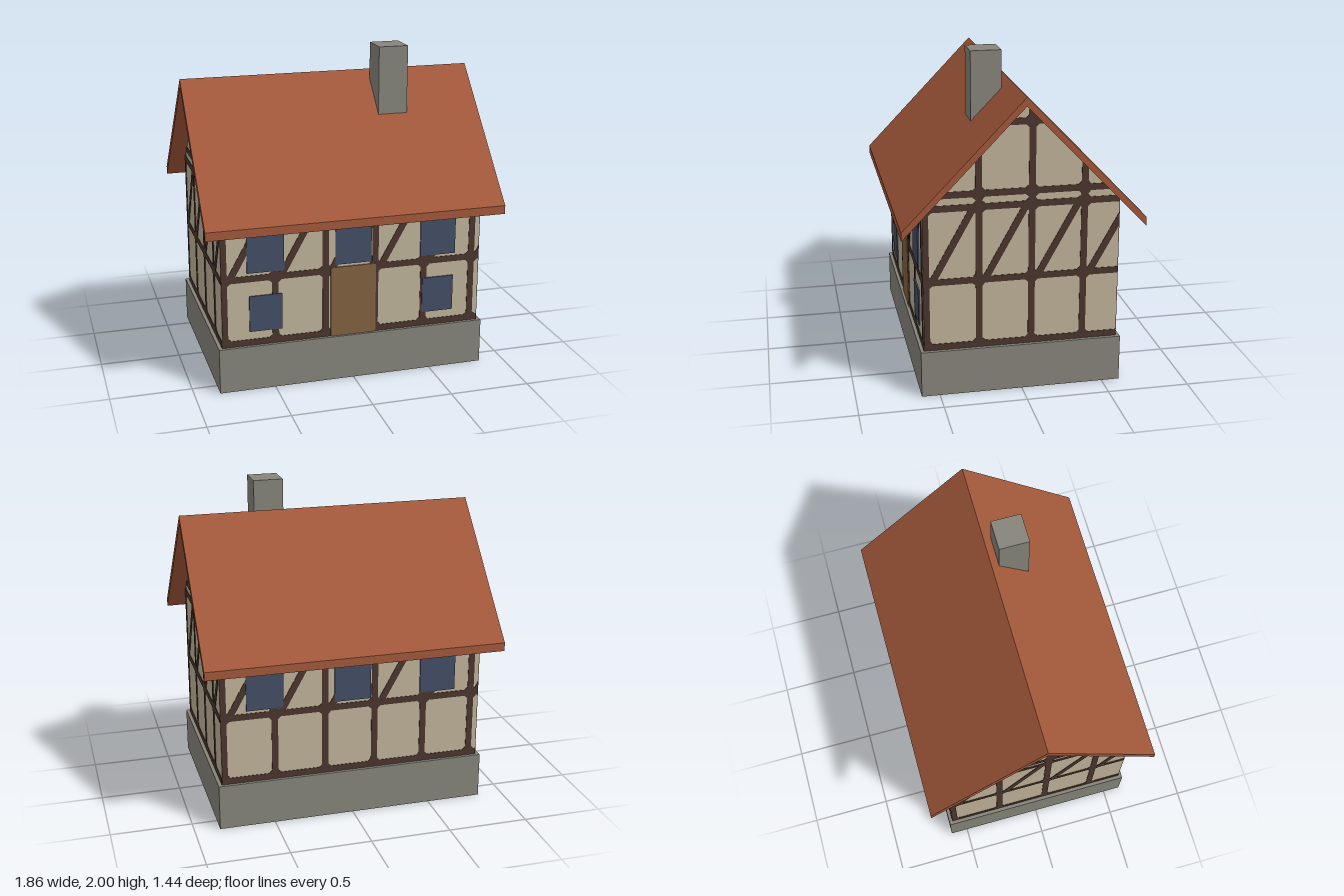
import * as THREE from 'three';
import { mergeGeometries } from 'three/addons/utils/BufferGeometryUtils.js';

const material = (name, color, side = THREE.FrontSide) =>
  new THREE.MeshStandardMaterial({ name, color, side });

// Main sizes: half widths of the walls, floor, eaves and inner ridge heights
const HX = 0.82, HZ = 0.587, FLOOR = 0.285, EAVE = 1.165, RIDGE = 1.77;

// Keep the part of a convex polygon inside a convex, counter-clockwise outline
function clip(poly, outline) {
  let out = poly;
  outline.forEach((a, i) => {
    const b = outline[(i + 1) % outline.length];
    const side = (p) => (b[0] - a[0]) * (p[1] - a[1]) - (b[1] - a[1]) * (p[0] - a[0]);
    const next = [];
    out.forEach((p, j) => {
      const q = out[(j + 1) % out.length], sp = side(p), sq = side(q);
      if (sp >= 0) next.push(p);
      if (sp * sq < 0) {
        const t = sp / (sp - sq);
        next.push([p[0] + (q[0] - p[0]) * t, p[1] + (q[1] - p[1]) * t]);
      }
    });
    out = next;
  });
  return out;
}

function extrude(points, depth) {
  const shape = new THREE.Shape(points.map(([x, y]) => new THREE.Vector2(x, y)));
  return new THREE.ExtrudeGeometry(shape, { depth, bevelEnabled: false });
}

const rect = (x0, x1, y0, y1) => [[x0, y0], [x1, y0], [x1, y1], [x0, y1]];

// Flat timber framing for a wall, clipped to its outline
function timberGeometry(halfWidth, outline) {
  const pieces = [];
  const rails = [0.305, 0.715, 1.165, 1.245, 1.66];
  rails.forEach((y) => pieces.push(rect(-halfWidth, halfWidth, y - 0.02, y + 0.02)));
  for (let x = -halfWidth + 0.016; x < halfWidth; x += 0.315) {
    pieces.push(rect(x - 0.02, x + 0.02, FLOOR, RIDGE));
    // Brace across the upper storey bay
    pieces.push([[x + 0.02, 0.73], [x + 0.067, 0.73], [x + 0.3, 1.15], [x + 0.253, 1.15]]);
    // Small gussets where posts meet rails
    rails.forEach((y) => {
      const r = 0.058;
      pieces.push([[x - r, y], [x, y - r], [x + r, y], [x, y + r]]);
    });
  }
  return mergeGeometries(pieces.map((p) => clip(p, outline))
    .filter((p) => p.length > 2).map((p) => extrude(p, 0.003)));
}

export function createModel() {
  const house = new THREE.Group();
  house.name = 'house';
  const stone = material('stone', 0x87857b, THREE.DoubleSide);
  const plaster = material('plaster', 0xc0b49a);
  const timber = material('timber', 0x4b362e);
  const tile = material('roofTile', 0xa3583a);
  const glass = material('windowBlue', 0x444e66);
  const wood = material('doorWood', 0x82613f);

  const add = (name, geometry, mat, parent = house) => {
    const mesh = new THREE.Mesh(geometry, mat);
    mesh.name = name;
    parent.add(mesh);
    return mesh;
  };

  // Foundation: a hollow box open underneath
  const base = new THREE.BoxGeometry(1.69, FLOOR, 1.22);
  const index = Array.from(base.index.array);
  index.splice(18, 6);
  base.setIndex(index);
  base.clearGroups();
  add('foundation', base, stone).position.y = FLOOR / 2;

  // Plastered body with gable ends
  const gable = [[-HZ, FLOOR], [HZ, FLOOR], [HZ, EAVE], [0, RIDGE], [-HZ, EAVE]];
  const body = extrude(gable, HX * 2);
  body.translate(0, 0, -HX).rotateY(Math.PI / 2);
  add('walls', body, plaster);

  // Timber frames, each laid out from the left end of its wall
  const longWall = rect(-HX, HX, FLOOR, EAVE);
  const sides = [
    ['front', 0, HX, HZ, longWall],
    ['back', Math.PI, HX, HZ, longWall],
    ['left', Math.PI / 2, HZ, HX, gable],
    ['right', -Math.PI / 2, HZ, HX, gable],
  ];
  const walls = {};
  for (const [name, angle, half, distance, outline] of sides) {
    const wall = new THREE.Group();
    wall.name = name + 'Wall';
    wall.rotation.y = angle;
    add(name + 'Timber', timberGeometry(half, outline), timber, wall).position.z = distance;
    house.add(wall);
    walls[name] = wall;
  }

  // Windows and door as thin plates
  const plate = (name, wall, mat, x, y, w, h) =>
    add(name, new THREE.BoxGeometry(w, h, 0.008), mat, wall).position.set(x, y, HZ + 0.004);
  for (const wall of [walls.front, walls.back]) {
    for (const x of [-0.548, 0, 0.545]) plate('upperWindow', wall, glass, x, 0.877, 0.228, 0.25);
  }
  for (const x of [-0.55, 0.55]) plate('lowerWindow', walls.front, glass, x, 0.49, 0.203, 0.228);
  plate('door', walls.front, wood, 0, 0.51, 0.288, 0.45);

  // Pitched roof slab with plumb-cut eaves
  const roof = extrude([[0.72, 1.022], [0.72, 1.075], [0, 1.822],
    [-0.72, 1.075], [-0.72, 1.022], [0, RIDGE]], 1.856);
  roof.translate(0, 0, -0.928).rotateY(Math.PI / 2);
  add('roof', roof, tile);

  // Chimney through the front slope
  add('chimney', new THREE.BoxGeometry(0.186, 0.48, 0.186), stone).position.set(0.36, 1.76, 0.142);

  return house;
}
